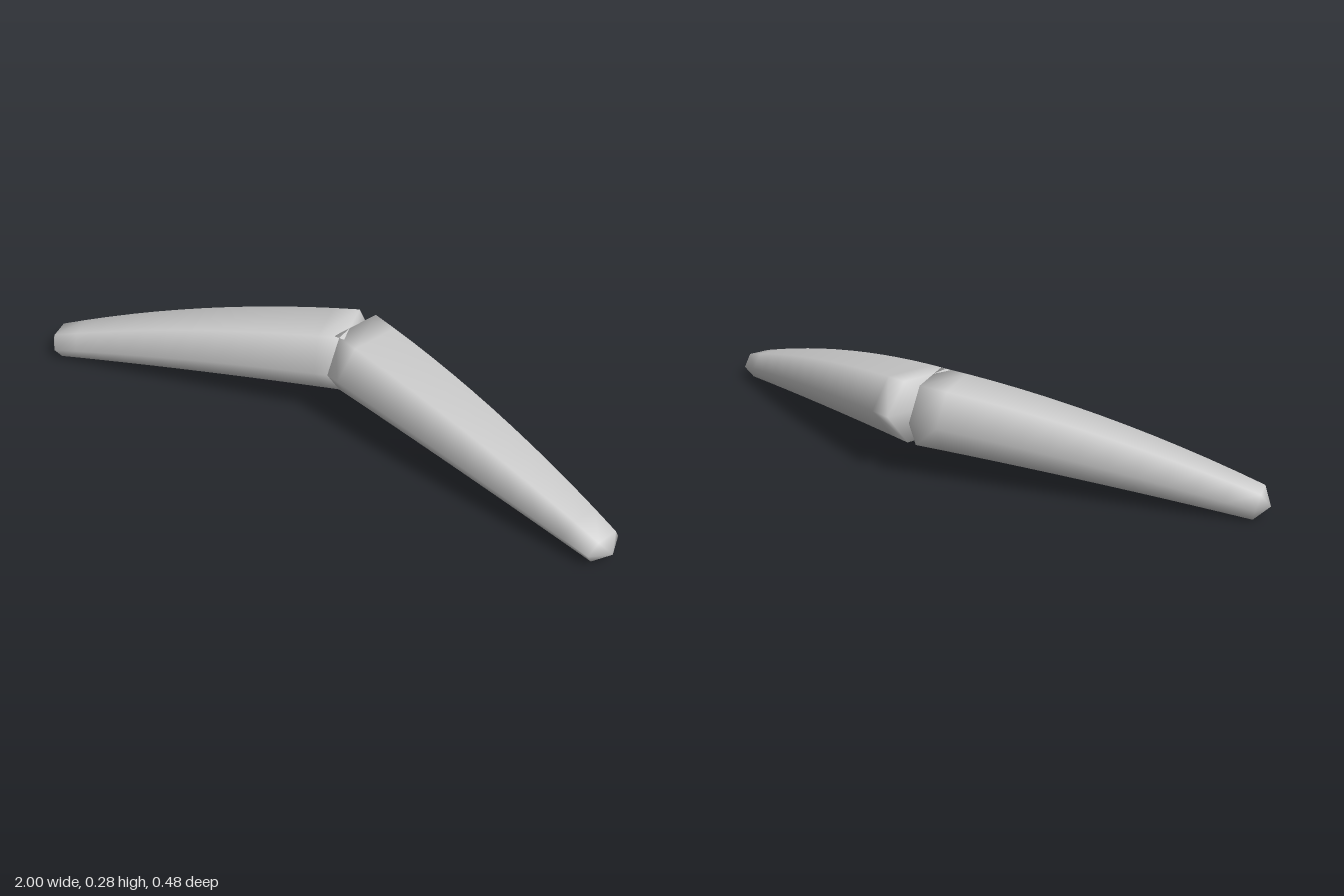
import * as THREE from 'three';

const SIDES = 6, RINGS = 12;
// hexagon: [across, up], wide and flat on top and bottom
const HEX = [[1, 0], [0.56, 1], [-0.56, 1], [-1, 0], [-0.56, -1], [0.56, -1]];

// One tapered, gently drooping arm, swept forward in a straight line; side is +1 or -1
function armGeometry(side) {
  const path = new THREE.QuadraticBezierCurve3(
    new THREE.Vector3(0, 0.19, -0.094),
    new THREE.Vector3(0.484, 0.153, 0.038),
    new THREE.Vector3(0.967, 0.041, 0.177));
  const pos = [], index = [];
  const put = (p) => pos.push(p.x * side, p.y, p.z);
  // the mirrored arm needs the opposite corner order
  const tri = (a, b, c) => (side > 0 ? index.push(a, b, c) : index.push(a, c, b));
  const up = new THREE.Vector3(0, 1, 0);

  // cross-sections square to the path, shrinking towards the tip
  for (let i = 0; i <= RINGS; i++) {
    const t = i / RINGS;
    const centre = path.getPoint(t), along = path.getTangent(t);
    const across = new THREE.Vector3().crossVectors(along, up).normalize();
    const lift = new THREE.Vector3().crossVectors(across, along);
    const s = 1 - 0.22 * t - 0.355 * t * t;
    for (const [u, v] of HEX) {
      put(centre.clone().addScaledVector(across, u * 0.152 * s).addScaledVector(lift, v * 0.096 * s));
    }
  }
  // centres of the flat root cap and the pointed tip cap
  const root = pos.length / 3, tip = root + 1;
  put(path.getPoint(0));
  put(path.getPoint(1).addScaledVector(path.getTangent(1), 0.035));

  const last = RINGS * SIDES;
  for (let j = 0; j < SIDES; j++) {
    const k = (j + 1) % SIDES;
    for (let i = 0; i < RINGS; i++) {
      const a = i * SIDES + j, b = i * SIDES + k;
      tri(a, a + SIDES, b);
      tri(b, a + SIDES, b + SIDES);
    }
    tri(root, j, k);
    tri(tip, last + k, last + j);
  }
  const geo = new THREE.BufferGeometry();
  geo.setAttribute('position', new THREE.Float32BufferAttribute(pos, 3));
  geo.setIndex(index);
  geo.computeVertexNormals();
  return geo;
}

export function createModel() {
  const group = new THREE.Group();
  group.name = 'curvedArms';
  const lightGrey = new THREE.MeshStandardMaterial({ color: 0xcccccc });
  lightGrey.name = 'lightGrey';
  for (const side of [1, -1]) {
    const arm = new THREE.Mesh(armGeometry(side), lightGrey);
    arm.name = side > 0 ? 'leftArm' : 'rightArm';
    group.add(arm);
  }
  return group;
}
